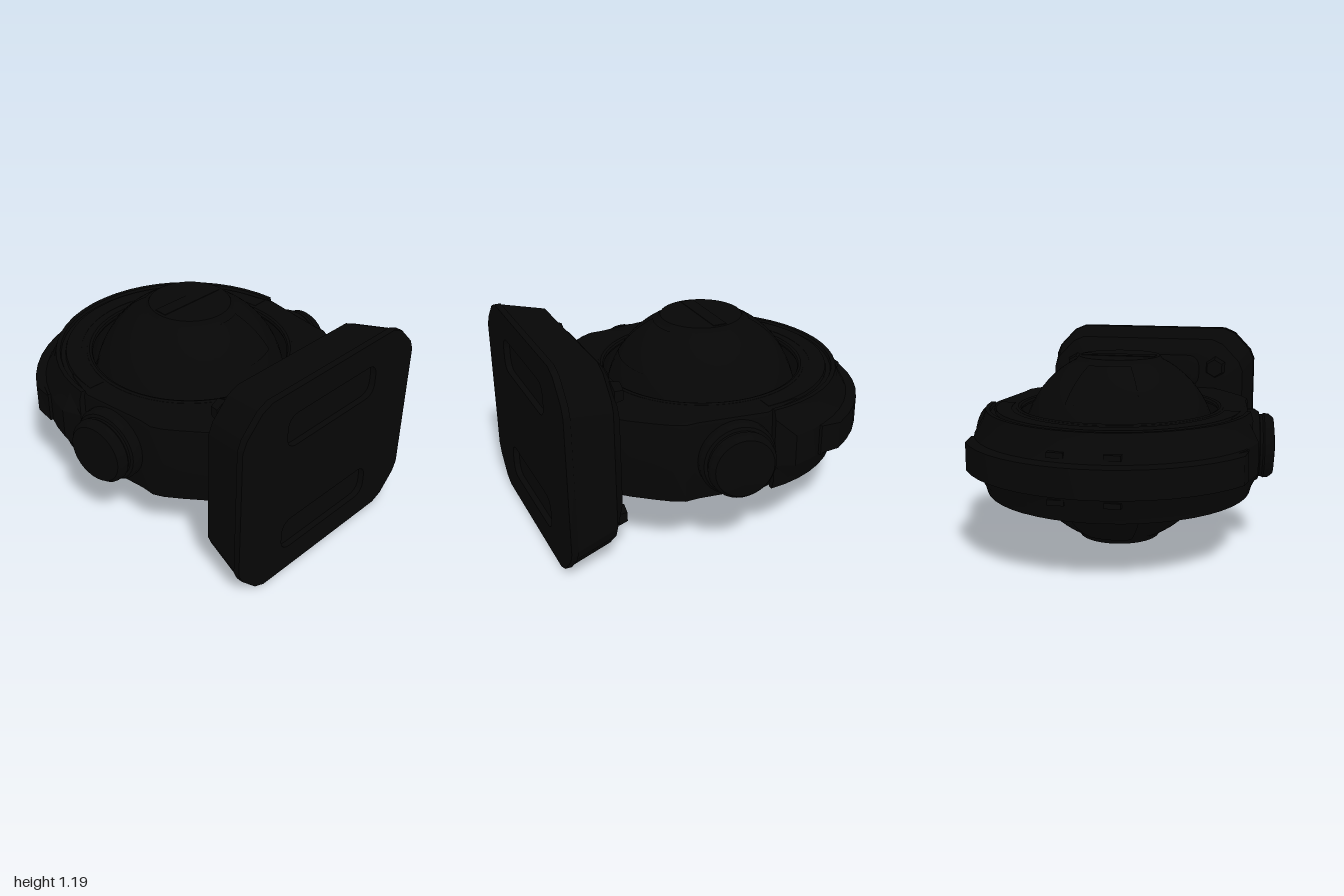
import * as THREE from 'three';
import { toCreasedNormals } from 'three/addons/utils/BufferGeometryUtils.js';

const MID = 0.6; // height of the horizontal symmetry plane

export function createModel() {
  const model = new THREE.Group();
  const black = new THREE.MeshStandardMaterial({ color: 0x060606, side: THREE.DoubleSide });
  black.name = 'black';

  const add = (name, geo, x = 0, y = MID, z = 0, parent = model, crease = 0.5) => {
    const mesh = new THREE.Mesh(toCreasedNormals(geo, crease), black);
    mesh.name = name;
    mesh.position.set(x, y, z);
    parent.add(mesh);
    return mesh;
  };
  const vecs = (list) => list.map(([x, y]) => new THREE.Vector2(x, y));

  // Rounded bar outline, used for slots and ribs
  const pill = (Path, y, w, h, r) => {
    const p = new Path();
    p.moveTo(-w + r, y - h);
    p.lineTo(w - r, y - h);
    p.quadraticCurveTo(w, y - h, w, y - h + r);
    p.lineTo(w, y + h - r);
    p.quadraticCurveTo(w, y + h, w - r, y + h);
    p.lineTo(-w + r, y + h);
    p.quadraticCurveTo(-w, y + h, -w, y + h - r);
    p.lineTo(-w, y - h + r);
    p.quadraticCurveTo(-w, y - h, -w + r, y - h);
    return p;
  };

  // Mounting plate: clipped rectangle narrowing towards the back
  const plateX = -0.008;
  const plateOutline = (d) => {
    const w = 0.685 - d, h = 0.598 - d;
    const corner = [[0, 0.2], [0.025, 0.14], [0.13, 0.03], [0.2, 0]];
    const q = corner.map(([a, b]) => [w - a, h - b]);
    const flip = (s, t, rev) => {
      const c = q.map(([x, y]) => [x * s, y * t]);
      return rev ? c.reverse() : c;
    };
    return [...q, ...flip(-1, 1, true), ...flip(-1, -1, false), ...flip(1, -1, true)];
  };
  const loft = (sections) => {
    const pos = [], idx = [], n = sections[0].pts.length;
    sections.forEach(({ pts, z }) => pts.forEach(([x, y]) => pos.push(x, y, z)));
    for (let s = 0; s < sections.length - 1; s++)
      for (let i = 0; i < n; i++) {
        const a = s * n + i, b = s * n + (i + 1) % n;
        idx.push(a, b, b + n, a, b + n, a + n);
      }
    const last = (sections.length - 1) * n;
    for (let i = 1; i < n - 1; i++) idx.push(0, i + 1, i, last, last + i, last + i + 1);
    const g = new THREE.BufferGeometry();
    g.setAttribute('position', new THREE.Float32BufferAttribute(pos, 3));
    g.setIndex(idx);
    return g;
  };
  add('mountPlate', loft([
    { pts: plateOutline(0.14), z: 0.655 },
    { pts: plateOutline(0.055), z: 0.72 },
    { pts: plateOutline(0.006), z: 0.965 },
  ]), plateX, MID, 0, model, 0.3);

  // Front skin of the plate with two recessed slots
  const skin = new THREE.Shape(vecs(plateOutline(0.002)));
  for (const s of [1, -1]) skin.holes.push(pill(THREE.Path, s * 0.345, 0.355, 0.1, 0.08));
  add('plateFront', new THREE.ExtrudeGeometry(skin, { depth: 0.037, bevelEnabled: false }), plateX, MID, 0.963);

  for (const s of [1, -1]) {
    // Ribs and bolts on the back of the plate
    add('plateRib', new THREE.ExtrudeGeometry(pill(THREE.Shape, s * 0.345, 0.355, 0.1, 0.08), {
      depth: 0.03, bevelThickness: 0.035, bevelSize: 0.04, bevelOffset: -0.04, bevelSegments: 4,
    }), plateX, MID, 0.655, model, 0.8);
    for (const x of [-0.46, 0.46]) {
      const bolt = new THREE.CylinderGeometry(0.055, 0.07, 0.055, 6).rotateX(-Math.PI / 2);
      add('plateBolt', bolt, x + plateX, MID + s * 0.37, 0.642);
    }
  }

  // Yoke joining the plate to the ring
  const side = [[0.3, 0.69], [0.48, 0.66], [0.53, 0.61], [0.62, 0.5], [0.68, 0.42], [0.71, 0.36],
    [0.71, 0.28], [0.76, -0.1], [0.7, -0.3], [0.5, -0.62]];
  const yoke = new THREE.Shape(vecs([...side, [0, -0.8], ...side.map(([x, z]) => [-x, z]).reverse()]));
  const hole = new THREE.Path();
  hole.absarc(0, -0.075, 0.6, 0, Math.PI * 2, true);
  yoke.holes.push(hole);
  add('yoke', new THREE.ExtrudeGeometry(yoke, {
    depth: 0.416, bevelThickness: 0.03, bevelSize: 0.025, bevelOffset: -0.025, bevelSegments: 2, curveSegments: 32,
  }).rotateX(Math.PI / 2), 0, MID + 0.208);

  // Partial ring centred on the rear; its last step slopes in to endR and is capped
  const arcRing = (name, upper, half, endR, z, segs) => {
    const pts = [...upper.map(([r, y]) => [r, -y]).reverse(), ...upper];
    const start = Math.PI - half;
    const group = new THREE.Group();
    group.name = name;
    model.add(group);
    const shell = new THREE.LatheGeometry(vecs([...pts, pts[0]]), segs, start, half * 2);
    const pos = shell.attributes.position, rows = pts.length + 1;
    for (let i = 0; i < pos.count; i++) {
      const step = Math.floor(i / rows), r = Math.hypot(pos.getX(i), pos.getZ(i));
      if ((step === 0 || step === segs) && r > endR)
        pos.setXYZ(i, pos.getX(i) * endR / r, pos.getY(i), pos.getZ(i) * endR / r);
    }
    add(name + 'Shell', shell, 0, MID, z, group, 0.35);
    const cap = vecs(pts.map(([r, y]) => [Math.min(r, endR), y]));
    for (const phi of [start, start + half * 2])
      add(name + 'End', new THREE.ShapeGeometry(new THREE.Shape(cap)).rotateY(phi - Math.PI / 2), 0, MID, z, group);
  };
  // Profiles run from the outer middle up and inwards
  arcRing('rearRing', [[0.84, 0.09], [0.785, 0.19], [0.77, 0.24], [0.745, 0.24], [0.74, 0.222],
    [0.715, 0.222], [0.71, 0.24], [0.62, 0.24]], 1.53, 0.785, -0.1, 24);
  arcRing('rearBand', [[0.9, 0.08], [0.86, 0.09], [0.8, 0.09]], 1.18, 0.855, -0.1, 18);
  // Small lugs on the slope above and below the band
  for (const s of [1, -1])
    for (const x of [-0.15, 0.15])
      add('rearLug', new THREE.BoxGeometry(0.09, 0.03, 0.04), x, MID + s * 0.125, -0.905);

  // Collar and lips closing the space around the ball, open at the front
  const gap = 0.3;
  for (const [name, y, tube] of [['collar', 0, 0.026], ['upperLip', 0.225, 0.02], ['lowerLip', -0.225, 0.02]])
    add(name, new THREE.TorusGeometry(0.59, tube, 8, 48, Math.PI * 2 - gap * 2)
      .rotateX(Math.PI / 2).rotateY(-Math.PI / 2 - gap), 0, MID + y, -0.075);

  // Ball with flattened poles
  const R = 0.568, profile = [[0, -0.536], [0.235, -0.536], [0.25, -0.512]];
  for (let i = 0; i <= 24; i++) {
    const a = (i / 24 - 0.5) * 2 * 1.11;
    profile.push([R * Math.cos(a), R * Math.sin(a)]);
  }
  profile.push([0.25, 0.512], [0.235, 0.533], [0, 0.533]);
  add('ball', new THREE.LatheGeometry(vecs(profile), 48), 0, MID, -0.075, model, 0.4);

  for (const s of [1, -1]) {
    // Thin panels fore and aft, and a central bar on each pole
    const panels = new THREE.Group();
    panels.name = s > 0 ? 'upperPanels' : 'lowerPanels';
    panels.position.set(0, MID, -0.075);
    panels.rotation.z = s > 0 ? 0 : Math.PI;
    model.add(panels);
    for (const phi of [Math.PI / 2, -Math.PI / 2])
      add('ballPanel', new THREE.SphereGeometry(R + 0.005, 12, 8, phi - 0.45, 0.9, 0.5, 0.5), 0, 0, 0, panels);
    add('poleBar', new THREE.BoxGeometry(0.43, 0.008, 0.08), 0, 0.533, -0.015, panels);
  }

  // Pivot knobs with a flange, angled slightly towards the front
  const knob = vecs([[0, -0.2], [0.215, -0.2], [0.215, -0.01], [0.2, 0.015], [0.183, 0.02],
    [0.183, 0.035], [0.19, 0.045], [0.186, 0.075], [0.165, 0.1], [0.08, 0.11], [0, 0.112]]);
  for (const s of [1, -1]) {
    const mesh = add(s > 0 ? 'leftKnob' : 'rightKnob',
      new THREE.LatheGeometry(knob, 32).rotateZ(-s * Math.PI / 2), s * 0.782, MID, 0.085);
    mesh.rotation.y = -s * 0.14;
  }
  return model;
}
